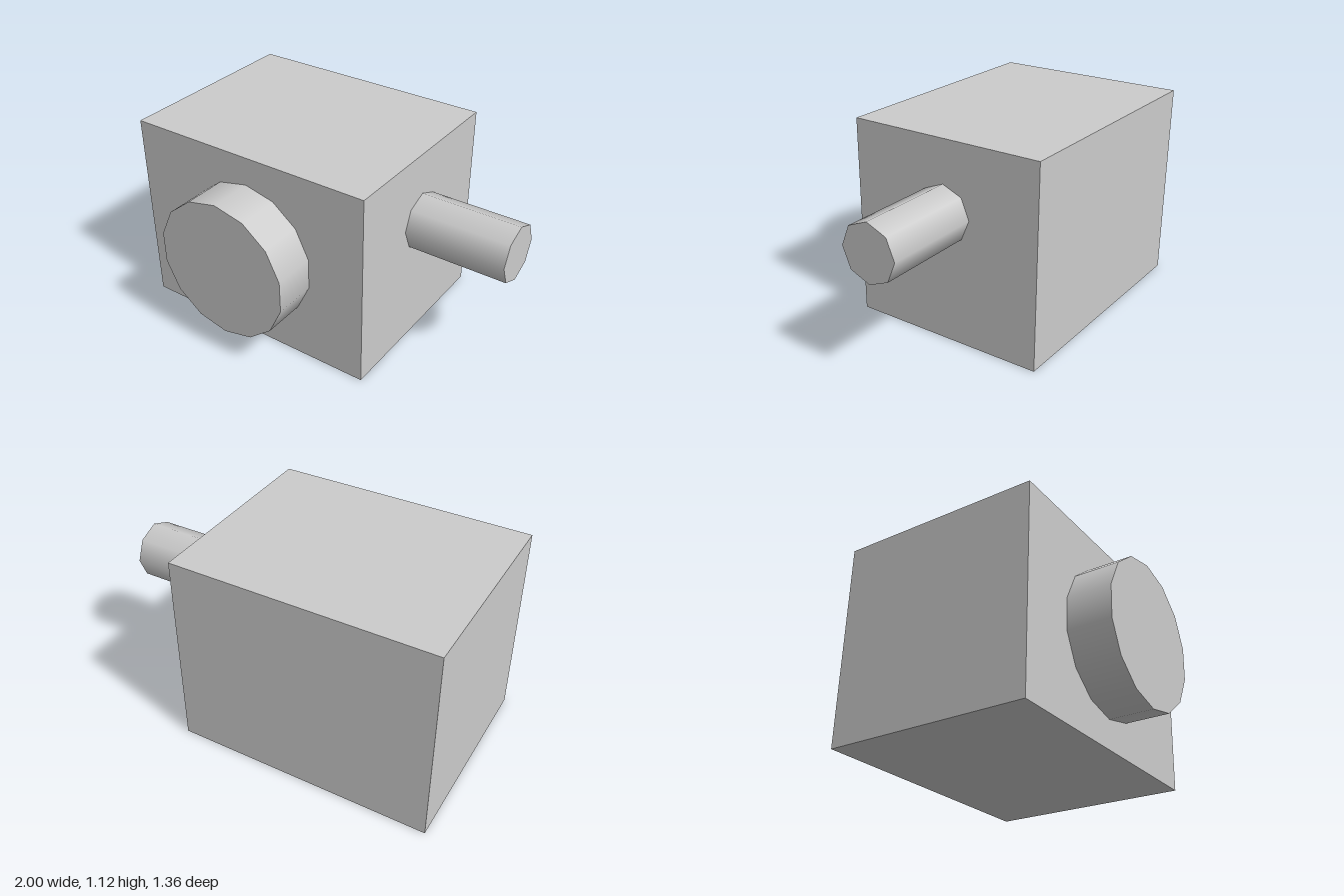
import * as THREE from 'three';

const material = new THREE.MeshStandardMaterial({ color: 0xcccccc });

function addPart(group, name, geometry, x, y, z) {
  const mesh = new THREE.Mesh(geometry, material);
  mesh.name = name;
  mesh.position.set(x, y, z);
  group.add(mesh);
}

export function createModel() {
  const group = new THREE.Group();
  group.name = 'boxWithShaft';

  // Main housing
  addPart(group, 'housing', new THREE.BoxGeometry(1.44, 1.12, 1.12), -0.28, 0.56, -0.12);

  // Round 14-sided boss on the front face
  const boss = new THREE.CylinderGeometry(0.4, 0.4, 0.24, 14).rotateX(Math.PI / 2);
  addPart(group, 'frontBoss', boss, -0.28, 0.56, 0.56);

  // Eight-sided shaft out of the +x side
  const shaft = new THREE.CylinderGeometry(0.16, 0.16, 0.56, 8).rotateZ(-Math.PI / 2);
  addPart(group, 'sideShaft', shaft, 0.72, 0.72, -0.12);

  return group;
}
